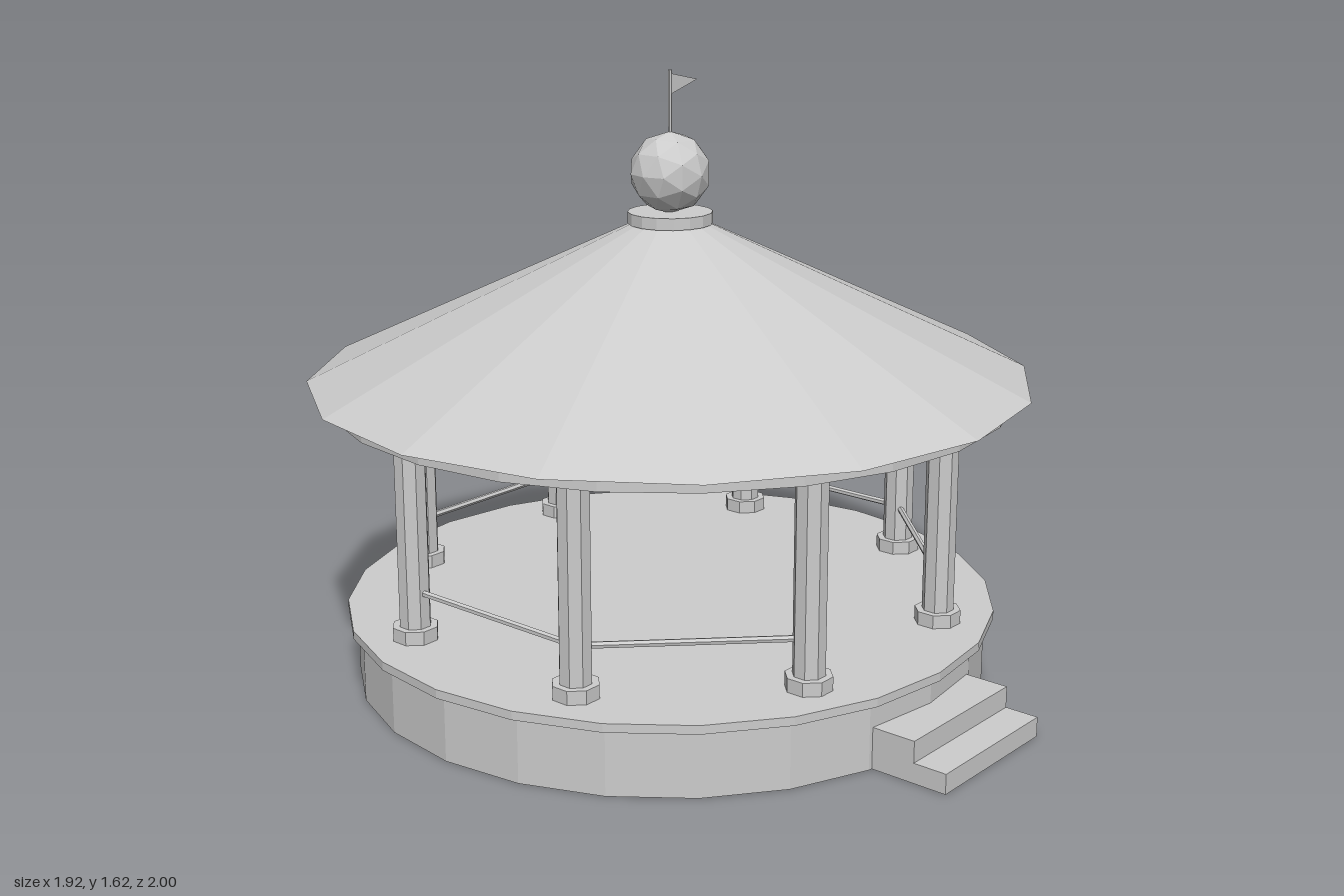
import * as THREE from 'three';

export function createModel() {
  const model = new THREE.Group();
  model.name = 'pavilion';
  const stone = new THREE.MeshStandardMaterial({ color: 0xcccccc });
  stone.name = 'light grey';
  stone.flatShading = true;

  // The round building sits slightly behind the origin to leave room for the steps
  const rotunda = new THREE.Group();
  rotunda.name = 'rotunda';
  rotunda.position.z = -0.037;
  model.add(rotunda);

  const add = (parent, name, geometry, x = 0, y = 0, z = 0, material = stone) => {
    const mesh = new THREE.Mesh(geometry, material);
    mesh.name = name;
    mesh.position.set(x, y, z);
    parent.add(mesh);
    return mesh;
  };
  // Upright drum or cone given by its bottom and top heights
  const drum = (parent, name, rTop, rBottom, y0, y1, sides) =>
    add(parent, name, new THREE.CylinderGeometry(rTop, rBottom, y1 - y0, sides), 0, (y0 + y1) / 2, 0);

  // Platform
  drum(rotunda, 'platform', 0.852, 0.852, 0, 0.176, 24);
  drum(rotunda, 'deck', 0.877, 0.877, 0.176, 0.199, 24);

  // Columns and the rails between them, open at the front
  const count = 8, ring = 0.739;
  const corner = (i) => {
    const a = ((i + 0.5) / count) * Math.PI * 2;
    return new THREE.Vector3(Math.sin(a) * ring, 0.328, Math.cos(a) * ring);
  };
  for (let i = 0; i < count; i++) {
    const p = corner(i);
    const column = new THREE.Group();
    column.name = 'column';
    column.position.set(p.x, 0, p.z);
    column.rotation.y = Math.PI / 8;
    drum(column, 'columnShaft', 0.042, 0.042, 0.199, 0.778, 8);
    drum(column, 'columnBase', 0.061, 0.061, 0.199, 0.235, 8);
    drum(column, 'columnCapital', 0.061, 0.061, 0.747, 0.778, 8);
    rotunda.add(column);

    if (i < count - 1) {
      const q = corner(i + 1);
      const rail = add(rotunda, 'rail', new THREE.CylinderGeometry(0.009, 0.009, p.distanceTo(q), 6));
      rail.position.lerpVectors(p, q, 0.5);
      rail.quaternion.setFromUnitVectors(new THREE.Vector3(0, 1, 0), q.clone().sub(p).normalize());
    }
  }

  // Roof
  drum(rotunda, 'eaveRing', 0.909, 0.909, 0.778, 0.814, 24);
  drum(rotunda, 'roof', 0.095, 0.96, 0.814, 1.224, 16);
  drum(rotunda, 'roofCollar', 0.112, 0.112, 1.222, 1.253, 16);

  // Ball, pole and pennant
  add(rotunda, 'finialBall', new THREE.IcosahedronGeometry(0.107, 1), 0, 1.355, 0);
  drum(rotunda, 'flagPole', 0.005, 0.005, 1.44, 1.62, 6);
  const pennant = new THREE.Shape([
    new THREE.Vector2(0, 1.557), new THREE.Vector2(0.107, 1.587), new THREE.Vector2(0, 1.611),
  ]);
  add(rotunda, 'pennant', new THREE.ExtrudeGeometry(pennant, { depth: 0.004, bevelEnabled: false }), 0, 0, -0.002);

  // Front steps
  add(model, 'upperStep', new THREE.BoxGeometry(0.42, 0.11, 0.148), 0, 0.055, 0.834);
  add(model, 'lowerStep', new THREE.BoxGeometry(0.42, 0.053, 0.092), 0, 0.0265, 0.954);

  return model;
}
